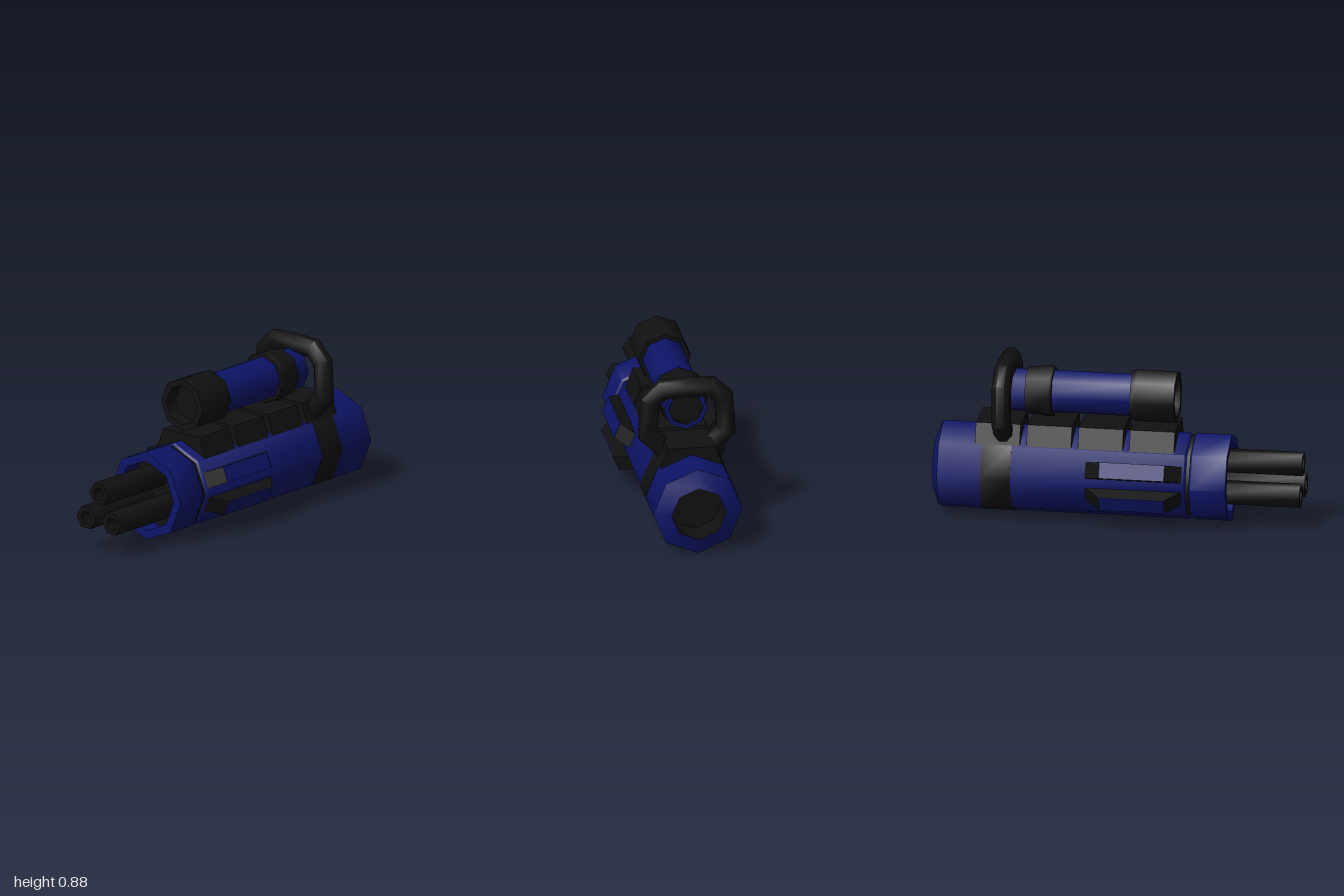
import * as THREE from 'three';
import { toCreasedNormals } from 'three/addons/utils/BufferGeometryUtils.js';

const BLUE = new THREE.MeshStandardMaterial({ color: 0x0d1568 });
const BLACK = new THREE.MeshStandardMaterial({ color: 0x111112 });

function addMesh(parent, name, geometry, material) {
  const mesh = new THREE.Mesh(geometry, material);
  mesh.name = name;
  parent.add(mesh);
  return mesh;
}

// Faceted solid of revolution along z; profile is [radius, z], back to front
function turned(profile, sides = 8, phase = 0, crease = 0.9) {
  const pts = profile.map(([r, z]) => new THREE.Vector2(r, z));
  const g = new THREE.LatheGeometry(pts, sides, phase).rotateX(Math.PI / 2);
  return toCreasedNormals(g, crease);
}

function extruded(points, depth) {
  const shape = new THREE.Shape(points.map(([x, y]) => new THREE.Vector2(x, y)));
  return new THREE.ExtrudeGeometry(shape, { depth, bevelEnabled: false });
}

// Octagonal bar with mitred corners along a path in the xy plane
function mitredBar(path, radius, sides = 8) {
  const pts = path.map(([x, y]) => new THREE.Vector2(x, y));
  const pos = [], index = [];
  pts.forEach((p, i) => {
    const a = p.clone().sub(pts[Math.max(i - 1, 0)]).normalize();
    const b = pts[Math.min(i + 1, pts.length - 1)].clone().sub(p).normalize();
    const t = a.clone().add(b).normalize();
    const stretch = 1 / t.dot(i ? a : b);
    for (let j = 0; j < sides; j++) {
      const ang = ((j + 0.5) / sides) * Math.PI * 2;
      const m = Math.cos(ang) * radius * stretch;
      pos.push(p.x - t.y * m, p.y + t.x * m, Math.sin(ang) * radius);
      if (i < pts.length - 1) {
        const k = i * sides + j, l = i * sides + ((j + 1) % sides);
        index.push(k, l, l + sides, k, l + sides, k + sides);
      }
    }
  });
  const g = new THREE.BufferGeometry();
  g.setAttribute('position', new THREE.Float32BufferAttribute(pos, 3));
  g.setIndex(index);
  return toCreasedNormals(g, 0.8);
}

export function createModel() {
  const model = new THREE.Group();
  model.name = 'multiBarrelLauncher';

  // Main housing
  const housing = new THREE.Group();
  housing.name = 'housing';
  housing.position.y = 0.249;
  model.add(housing);
  addMesh(housing, 'shell', turned([[0.15, -1], [0.245, -0.96], [0.245, 0.38], [0.23, 0.392]]), BLUE);
  addMesh(housing, 'frontCollar', turned([
    [0.23, 0.408], [0.245, 0.42], [0.245, 0.61], [0.195, 0.61], [0.195, 0.5],
  ]), BLUE);
  addMesh(housing, 'collarGroove', turned([[0.232, 0.375], [0.232, 0.425]]), BLACK);
  addMesh(housing, 'frontPlate', turned([[0.196, 0.5], [0, 0.5]]), BLACK);
  addMesh(housing, 'rearExhaust', turned([[0, -0.85], [0.15, -0.85], [0.15, -1]]), BLACK);
  addMesh(housing, 'rearBand', turned([
    [0.24, -0.725], [0.247, -0.725], [0.247, -0.562], [0.24, -0.562],
  ]), BLACK);

  // Three hexagonal barrels
  for (const [x, y] of [[0, 0.347], [-0.09, 0.197], [0.09, 0.197]]) {
    const barrel = addMesh(model, 'barrel', turned([
      [0.066, 0.45], [0.066, 1], [0.038, 1], [0.038, 0.9], [0, 0.9],
    ], 6, Math.PI / 6, 1.06), BLACK);
    barrel.position.set(x, y, 0);
  }

  // Top rail blocks
  for (let i = 0; i < 4; i++) {
    const block = addMesh(model, 'railBlock',
      extruded([[-0.17, 0.425], [0.17, 0.425], [0.13, 0.535], [-0.13, 0.535]], 0.243), BLACK);
    block.position.z = 0.077 - i * 0.28;
  }

  // Sighting scope
  const scope = new THREE.Group();
  scope.name = 'scope';
  scope.position.y = 0.69;
  model.add(scope);
  addMesh(scope, 'scopeTube', turned([
    [0.095, -0.59], [0.12, -0.59], [0.12, 0.09],
  ]), BLUE);
  addMesh(scope, 'scopeEyepiece', turned([[0, -0.57], [0.095, -0.57], [0.095, -0.59]]), BLACK);
  addMesh(scope, 'scopeRing', turned([
    [0.118, -0.5], [0.133, -0.5], [0.146, -0.37], [0.14, -0.355], [0.118, -0.355],
  ]), BLACK);
  addMesh(scope, 'scopeHood', turned([
    [0.118, 0.073], [0.142, 0.073], [0.147, 0.1], [0.147, 0.315],
    [0.11, 0.315], [0.1, 0.25], [0, 0.25],
  ]), BLACK);

  // Carrying handle arching over the scope
  const side = [[0.1, 0.452], [0.213, 0.566], [0.201, 0.757], [0.135, 0.822]];
  const arch = [...side, [0, 0.828], ...side.map(([x, y]) => [-x, y]).reverse()];
  const handle = addMesh(model, 'handle', mitredBar(arch, 0.054), BLACK);
  handle.position.z = -0.613;

  // Angled side fins: dark tapered blocks with a blue outer plate
  for (const sx of [1, -1]) {
    for (const sy of [1, -1]) {
      const fin = new THREE.Group();
      fin.name = 'sideFin';
      fin.position.y = 0.249;
      // Local x points outward from the housing facet
      const angle = sy * Math.PI / 8;
      fin.rotation.z = sx > 0 ? angle : Math.PI - angle;
      const shift = (sy > 0 ? -0.015 : 0.03) * sx;
      // Shape is drawn as (outward, -z) and laid on its side
      const body = extruded([[0.21, -0.37], [0.225, -0.37], [0.3, -0.285],
        [0.3, 0.07], [0.225, 0.155], [0.21, 0.155]], 0.088);
      body.rotateX(-Math.PI / 2).translate(0, shift - 0.044, 0);
      addMesh(fin, 'finBlock', body, BLACK);
      const plate = addMesh(fin, 'finPlate', new THREE.BoxGeometry(0.004, 0.088, 0.355), BLUE);
      plate.position.set(0.301, shift, 0.1075);
      model.add(fin);
    }
  }
  return model;
}
